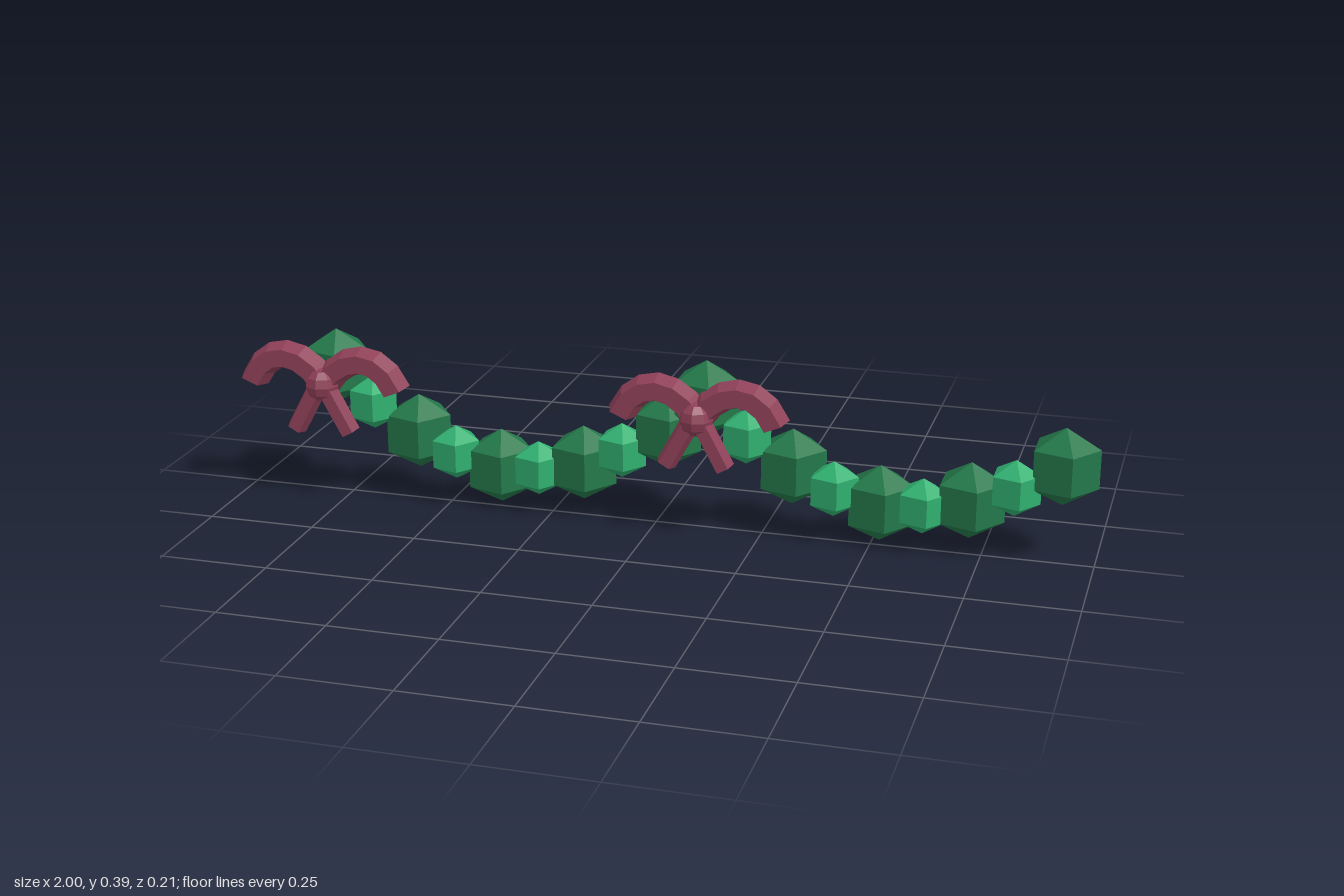
import * as THREE from 'three';

export function createModel() {
  const model = new THREE.Group();
  model.name = 'garland';

  const mat = (name, color) => {
    const m = new THREE.MeshStandardMaterial({ color, flatShading: true });
    m.name = name;
    return m;
  };
  const darkGreen = mat('dark green', 0x23784a);
  const lightGreen = mat('light green', 0x30b070);
  const ribbon = mat('ribbon red', 0x8f4058);

  const add = (parent, name, geometry, material, x = 0, y = 0, z = 0) => {
    const mesh = new THREE.Mesh(geometry, material);
    mesh.name = name;
    mesh.position.set(x, y, z);
    parent.add(mesh);
    return mesh;
  };

  // Five-sided capped rod bent along a curve in the xy plane, flat side to the front
  const rod = (curve, radius, segments) => {
    const g = new THREE.CylinderGeometry(radius, radius, 1, 5, segments).rotateY(Math.PI);
    const p = g.attributes.position;
    for (let i = 0; i < p.count; i++) {
      const t = THREE.MathUtils.clamp(p.getY(i) + 0.5, 0, 1);
      const c = curve.getPoint(t);
      const d = curve.getTangent(t);
      const s = p.getX(i);
      p.setXY(i, c.x + s * d.y, c.y - s * d.x);
    }
    g.computeVertexNormals();
    return g;
  };
  const v = (x, y) => new THREE.Vector2(x, y);

  // Faceted clumps, one corner pointing to +x
  const bigBead = new THREE.SphereGeometry(0.09, 5, 3).rotateY(Math.PI);
  const smallBead = new THREE.SphereGeometry(0.0655, 5, 3).rotateY(Math.PI);
  const heights = [0.304, 0.16, 0.093, 0.12, 0.22];
  const spacing = 0.2025;

  // Bow of two loops, two tails and a knot
  const makeBow = () => {
    const bow = new THREE.Group();
    bow.name = 'bow';
    for (const s of [-1, 1]) {
      const loop = new THREE.CubicBezierCurve(
        v(0, 0.28), v(s * 0.05, 0.363), v(s * 0.14, 0.37), v(s * 0.178, 0.28));
      add(bow, 'bowLoop', rod(loop, 0.035, 6), ribbon, 0, 0, 0.05);
      const tail = new THREE.LineCurve(v(s * 0.008, 0.285), v(s * 0.068, 0.175));
      add(bow, 'bowTail', rod(tail, 0.024, 1), ribbon, 0, 0, 0.069);
    }
    add(bow, 'bowKnot', new THREE.SphereGeometry(0.04, 8, 6), ribbon, 0, 0.285, 0.065);
    return bow;
  };

  // Two hanging swags, each starting at a bow
  for (const start of [-0.79, 0.11]) {
    const swag = new THREE.Group();
    swag.name = 'swag';
    heights.forEach((y, i) => {
      const x = start + i * spacing;
      add(swag, 'largeClump', bigBead, darkGreen, x, y, -0.029);
      if (i < 4) {
        add(swag, 'smallClump', smallBead, lightGreen,
          x + spacing / 2, (y + heights[i + 1]) / 2, 0);
      }
    });
    const bow = makeBow();
    bow.position.x = start;
    swag.add(bow);
    model.add(swag);
  }
  return model;
}
